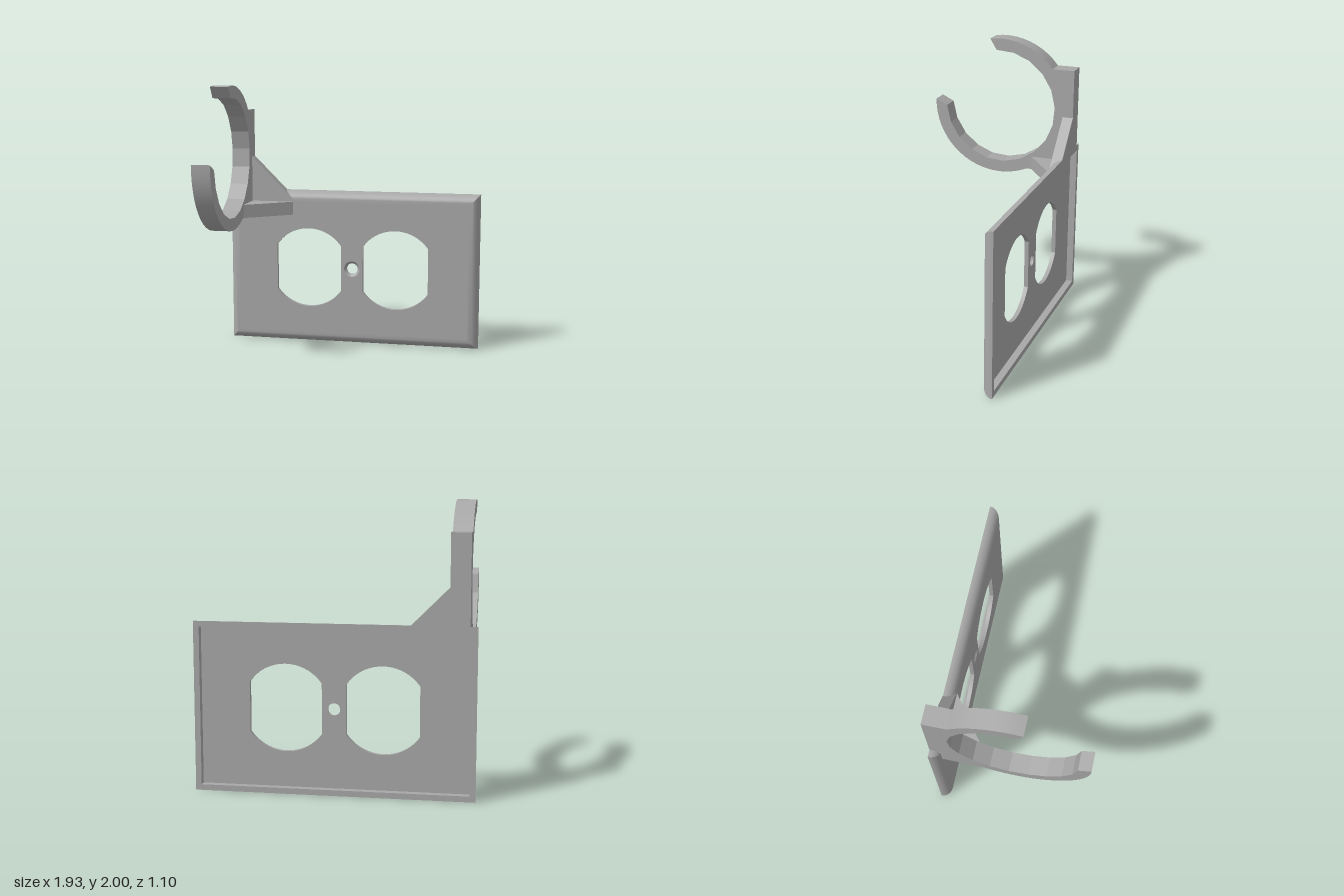
import * as THREE from 'three';
import { toCreasedNormals } from 'three/addons/utils/BufferGeometryUtils.js';

const W = 0.967, H = 1.185, MID = H / 2;      // plate half width, height, mid height
const BACK = -0.55, FLOOR = -0.5, FRONT = -0.47;
const ROUND = 0.08, RIM = 0.04;

// Sweeps a profile of [inset, z] points around the plate's rectangle with mitred corners
function rectSweep(profile) {
  const pos = [];
  const corners = ([d, z]) => [
    [-W + d, d, z], [W - d, d, z], [W - d, H - d, z], [-W + d, H - d, z],
  ];
  for (let i = 0; i < profile.length - 1; i++) {
    const a = corners(profile[i]), b = corners(profile[i + 1]);
    for (let s = 0; s < 4; s++) {
      const t = (s + 1) % 4;
      pos.push(...a[s], ...a[t], ...b[t], ...a[s], ...b[t], ...b[s]);
    }
  }
  const g = new THREE.BufferGeometry();
  g.setAttribute('position', new THREE.Float32BufferAttribute(pos, 3));
  return toCreasedNormals(g, 0.5);
}

function polygon(points) {
  return new THREE.Shape(points.map(([x, y]) => new THREE.Vector2(x, y)));
}

function extrude(shape, depth, curveSegments = 24) {
  return new THREE.ExtrudeGeometry(shape, { depth, bevelEnabled: false, curveSegments });
}

// Round outlet opening with both sides cut straight
function outletHole(cx) {
  const r = 0.305, a = Math.acos(0.25 / r);
  const path = new THREE.Path();
  path.absarc(cx, MID, r, a, Math.PI - a, false);
  path.absarc(cx, MID, r, Math.PI + a, 2 * Math.PI - a, false);
  path.closePath();
  return path;
}

export function createModel() {
  const model = new THREE.Group();
  const plastic = new THREE.MeshStandardMaterial({ color: 0xa8a8a8 });
  plastic.name = 'grey plastic';
  const add = (name, geometry, parent = model) => {
    const mesh = new THREE.Mesh(geometry, plastic);
    mesh.name = name;
    parent.add(mesh);
    return mesh;
  };

  // Wall plate: rounded hollow rim, face with openings, countersunk screw hole
  const plate = new THREE.Group();
  plate.name = 'wallPlate';
  model.add(plate);

  const rim = [[ROUND, FLOOR], [RIM, FLOOR], [RIM, BACK], [0, BACK]];
  for (let i = 1; i <= 10; i++) {
    const a = (i / 10) * Math.PI / 2;
    rim.push([ROUND * (1 - Math.cos(a)), BACK + ROUND * Math.sin(a)]);
  }
  add('plateRim', rectSweep(rim), plate);

  const face = polygon([
    [-W + ROUND, ROUND], [W - ROUND, ROUND], [W - ROUND, H - ROUND], [-W + ROUND, H - ROUND],
  ]);
  const screw = new THREE.Path();
  screw.absarc(0, MID, 0.06, 0, Math.PI * 2, false);
  face.holes.push(outletHole(-0.335), outletHole(0.335), screw);
  const faceGeometry = extrude(face, FRONT - FLOOR);
  faceGeometry.translate(0, 0, FLOOR);
  add('plateFace', toCreasedNormals(faceGeometry, 0.5), plate);

  const sink = new THREE.LatheGeometry(
    [[0.06, 0.03], [0.042, 0.012], [0.042, 0], [0.06, 0]].map(([r, y]) => new THREE.Vector2(r, y)).reverse(), 40);
  sink.rotateX(Math.PI / 2);
  sink.translate(0, MID, FLOOR);
  const sinkMesh = add('screwHole', toCreasedNormals(sink, 0.5), plate);
  sinkMesh.material = plastic.clone();
  sinkMesh.material.side = THREE.DoubleSide;

  // Open ring holder and its back post, drawn in the z-y plane
  const CZ = 0.03, CY = 1.475, R = 0.525, r = 0.437;
  const at = (radius, deg) => {
    const a = THREE.MathUtils.degToRad(deg);
    return [CZ + radius * Math.cos(a), CY + radius * Math.sin(a)];
  };
  const outline = [];
  const arc = (radius, from, to, n) => {
    for (let i = 0; i <= n; i++) outline.push(at(radius, from + (to - from) * i / n));
  };
  arc(R, 81, 141.8, 10);
  outline.push([BACK, 1.8], [BACK, 1.15], [-0.49, 1.15], [-0.49, 1.0]);
  arc(R, 244.8, 361, 20);
  arc(r, 355.5, 86, 15);
  const ring = extrude(polygon(outline), 0.135);
  ring.rotateY(-Math.PI / 2);
  ring.translate(-0.78, 0, 0);
  add('ringHolder', toCreasedNormals(ring, 0.2));

  // Upright gusset beside the post
  const gusset = extrude(polygon([[-0.78, 1.15], [-0.49, 1.15], [-0.78, 1.44]]), FRONT - BACK);
  gusset.translate(0, 0, BACK);
  add('uprightGusset', gusset);
  const gussetFoot = extrude(polygon([[-0.78, 1.08], [-0.46, 1.08], [-0.46, 1.12], [-0.49, 1.15], [-0.78, 1.15]]), 0.025);
  gussetFoot.translate(0, 0, FRONT - 0.025);
  add('gussetFoot', gussetFoot);

  // Flat wedge bracing the ring against the plate
  const wedge = extrude(polygon([[-0.78, -0.49], [-0.46, -0.49], [-0.46, -0.47], [-0.78, -0.232]]), 0.1);
  wedge.rotateX(Math.PI / 2);
  wedge.translate(0, 1.1, 0);
  add('flatBrace', wedge);

  return model;
}
